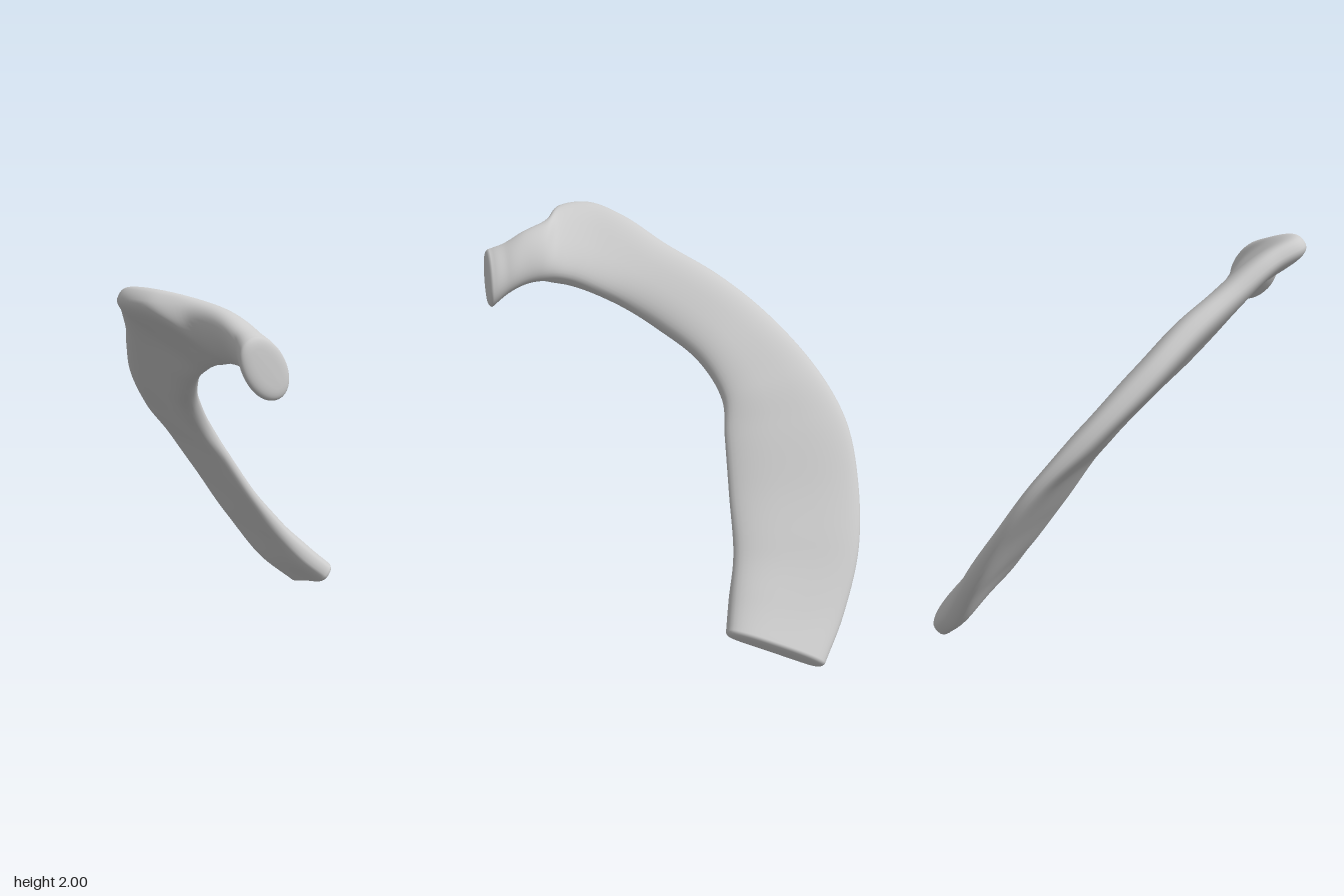
import * as THREE from 'three';

// Stations along the bone: inner edge xyz, outer edge xyz, half thickness
const STATIONS = [
  [0.04, 0.205, -0.68, -0.40, 0.02, -0.885, 0.085],
  [-0.02, 0.31, -0.575, -0.555, 0.17, -0.77, 0.09],
  [-0.10, 0.47, -0.445, -0.72, 0.45, -0.62, 0.075],
  [-0.155, 0.71, -0.265, -0.805, 0.76, -0.43, 0.06],
  [-0.20, 0.96, -0.105, -0.82, 1.00, -0.255, 0.06],
  [-0.23, 1.12, 0.00, -0.75, 1.22, -0.04, 0.075],
  [-0.16, 1.29, 0.15, -0.57, 1.47, 0.21, 0.085],
  [0.00, 1.43, 0.31, -0.37, 1.65, 0.39, 0.09],
  [0.14, 1.53, 0.41, -0.15, 1.79, 0.58, 0.085],
  [0.28, 1.61, 0.47, 0.02, 1.91, 0.75, 0.08],
  [0.39, 1.66, 0.51, 0.17, 1.965, 0.88, 0.085],
  [0.47, 1.68, 0.53, 0.34, 1.965, 0.87, 0.085],
  [0.54, 1.685, 0.545, 0.45, 1.935, 0.745, 0.085],
  [0.62, 1.675, 0.55, 0.585, 1.90, 0.705, 0.08],
  [0.71, 1.64, 0.55, 0.68, 1.85, 0.71, 0.085],
  [0.795, 1.58, 0.555, 0.755, 1.815, 0.745, 0.105],
];
const SIDES = 40, STEPS = 112, CAP = 8;

const curveOf = (pick) =>
  new THREE.CatmullRomCurve3(STATIONS.map((s) => new THREE.Vector3(...pick(s))));

function curvedBlade() {
  const inner = curveOf((s) => s.slice(0, 3));
  const outer = curveOf((s) => s.slice(3, 6));
  const halfThickness = (u) => {
    const f = u * (STATIONS.length - 1), i = Math.min(Math.floor(f), STATIONS.length - 2);
    return THREE.MathUtils.lerp(STATIONS[i][6], STATIONS[i + 1][6], THREE.MathUtils.smoothstep(f - i, 0, 1));
  };

  // Rows: position along the bone, push along it, and roundness; both ends close softly
  const rows = [];
  const cap = (u, dir, k) => {
    const a = (k / CAP) * Math.PI / 2;
    rows.push([u, dir * 0.025 * Math.sin(a), Math.sqrt(Math.max(0, Math.cos(a)))]);
  };
  for (let k = CAP; k > 0; k--) cap(0, -1, k);
  for (let i = 0; i <= STEPS; i++) rows.push([i / STEPS, 0, 1]);
  for (let k = 1; k <= CAP; k++) cap(1, 1, k);

  const positions = [], index = [];
  rows.forEach(([u, push, round], i) => {
    const a0 = inner.getPoint(u), a1 = outer.getPoint(u), t = halfThickness(u);
    const centre = a0.clone().lerp(a1, 0.5);
    const across = a1.sub(a0), halfWidth = across.length() / 2;
    across.normalize();
    // The bone lies in a plane leaning at 45 degrees, so thickness follows its normal
    const up = new THREE.Vector3(0, 1, -1).projectOnPlane(across).normalize();
    const forward = up.clone().cross(across).normalize();
    const wide = halfWidth - t * (1 - round) * 0.8;
    // Wide sections get a squarer profile and a shallow hollow below
    const flat = THREE.MathUtils.smoothstep(halfWidth, 0.15, 0.25);
    const power = 1 - 0.25 * flat;
    for (let j = 0; j < SIDES; j++) {
      const a = (j / SIDES) * Math.PI * 2, c = Math.cos(a), s = Math.sin(a);
      const px = Math.sign(c) * Math.abs(c) ** power;
      let py = Math.sign(s) * Math.abs(s) ** power;
      if (s < 0) py *= 1 - 0.35 * flat * Math.max(0, 1 - px * px);
      const p = centre.clone().addScaledVector(across, px * wide)
        .addScaledVector(up, py * t * round).addScaledVector(forward, push);
      positions.push(p.x, p.y, p.z);
      if (i < rows.length - 1) {
        const n = (j + 1) % SIDES, r = i * SIDES, q = r + SIDES;
        index.push(r + j, q + j, r + n, r + n, q + j, q + n);
      }
    }
  });
  const geometry = new THREE.BufferGeometry();
  geometry.setAttribute('position', new THREE.Float32BufferAttribute(positions, 3));
  geometry.setIndex(index);
  geometry.computeVertexNormals();
  return geometry;
}

export function createModel() {
  const group = new THREE.Group();
  group.name = 'firstRib';
  const material = new THREE.MeshStandardMaterial({ color: 0xcccccc });

  // Flat curved shaft with tubercle, neck and head in one smooth surface
  const bone = new THREE.Mesh(curvedBlade(), material);
  bone.name = 'ribBone';
  group.add(bone);

  // Rest the bone on the ground
  bone.geometry.computeBoundingBox();
  bone.position.y = -bone.geometry.boundingBox.min.y;
  return group;
}
